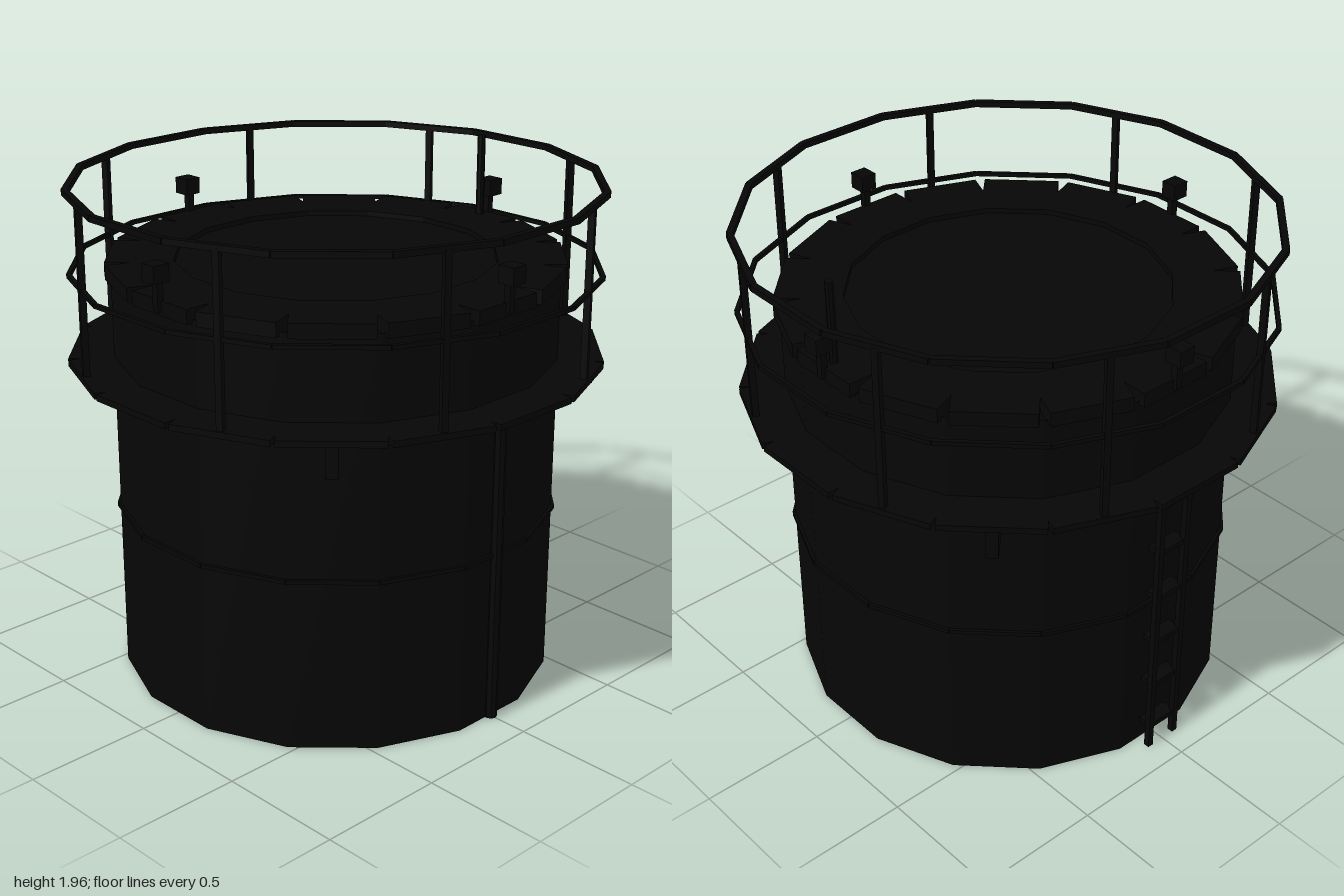
import * as THREE from 'three';

const SIDES = 16;
const STEP = (Math.PI * 2) / SIDES;

export function createModel() {
  const model = new THREE.Group();
  const black = new THREE.MeshStandardMaterial({ color: 0x060606, flatShading: true, side: THREE.DoubleSide });
  black.name = 'black';

  function add(parent, name, geometry, x = 0, y = 0, z = 0) {
    const mesh = new THREE.Mesh(geometry, black);
    mesh.name = name;
    mesh.position.set(x, y, z);
    parent.add(mesh);
    return mesh;
  }

  // A box given by its low and high y, centred at x and z
  function block(parent, name, w, y0, y1, d, x = 0, z = 0) {
    return add(parent, name, new THREE.BoxGeometry(w, y1 - y0, d), x, (y0 + y1) / 2, z);
  }

  // Calls build with a group turned to each of count directions
  function around(name, count, start, build) {
    const ring = new THREE.Group();
    ring.name = name;
    for (let i = 0; i < count; i++) {
      const arm = new THREE.Group();
      arm.name = name + 'Part';
      arm.rotation.y = start + (i * Math.PI * 2) / count;
      build(arm);
      ring.add(arm);
    }
    model.add(ring);
  }

  // Ring of straight segments between two radii
  function segmentRing(name, width, r0, r1, y0, y1) {
    around(name, SIDES, 0, (arm) => block(arm, name + 'Segment', width, y0, y1, r1 - r0, 0, (r0 + r1) / 2));
  }

  // Open tank wall with flats facing the axes
  const wallRadius = 0.83 / Math.cos(STEP / 2);
  const wall = new THREE.CylinderGeometry(wallRadius, wallRadius, 1.6, SIDES, 1, true);
  wall.rotateY(STEP / 2);
  add(model, 'tankWall', wall, 0, 0.8, 0);
  segmentRing('seamBand', 0.33, 0.815, 0.842, 0.667, 0.683);

  // Roof: ring of slabs around a slightly sunken disc
  segmentRing('roofRim', 0.3, 0.6, 0.855, 1.585, 1.64);
  const disc = new THREE.CylinderGeometry(0.7, 0.7, 0.03, 32);
  add(model, 'roofDisc', disc, 0, 1.605, 0);

  // Walkway, brackets and railing
  segmentRing('walkway', 0.38, 0.82, 1.0, 1.253, 1.277);
  around('bracket', 4, Math.PI / 4, (arm) => block(arm, 'bracketPlate', 0.045, 1.13, 1.253, 0.14, 0, 0.912));
  around('railPost', 8, STEP, (arm) => block(arm, 'post', 0.025, 1.265, 1.915, 0.025, 0, 0.98));
  segmentRing('topRail', 0.39, 0.967, 0.992, 1.905, 1.928);
  segmentRing('middleRail', 0.39, 0.972, 0.989, 1.594, 1.61);

  // Lamps on the roof edge, and a mast at the back
  around('lamp', 4, 0, (arm) => {
    block(arm, 'lampStem', 0.027, 1.6, 1.715, 0.027, 0, 0.857);
    block(arm, 'lampHead', 0.066, 1.71, 1.775, 0.07, 0, 0.865);
  });
  add(model, 'mast', new THREE.CylinderGeometry(0.016, 0.016, 0.36, 8), 0, 1.78, -0.807);

  // Drain pipe on the left side
  add(model, 'drainPipe', new THREE.CylinderGeometry(0.025, 0.025, 1.265, 8), 0.836, 0.6325, 0);

  // Ladder on the right side
  const ladder = new THREE.Group();
  ladder.name = 'ladder';
  for (const z of [-0.065, 0.065]) block(ladder, 'ladderRail', 0.024, 0, 1.265, 0.024, -0.885, z);
  for (let i = 0; i < 6; i++) {
    const y = 0.095 + i * 0.209;
    block(ladder, 'ladderRung', 0.075, y - 0.01, y + 0.01, 0.13, -0.852, 0);
  }
  model.add(ladder);

  return model;
}
